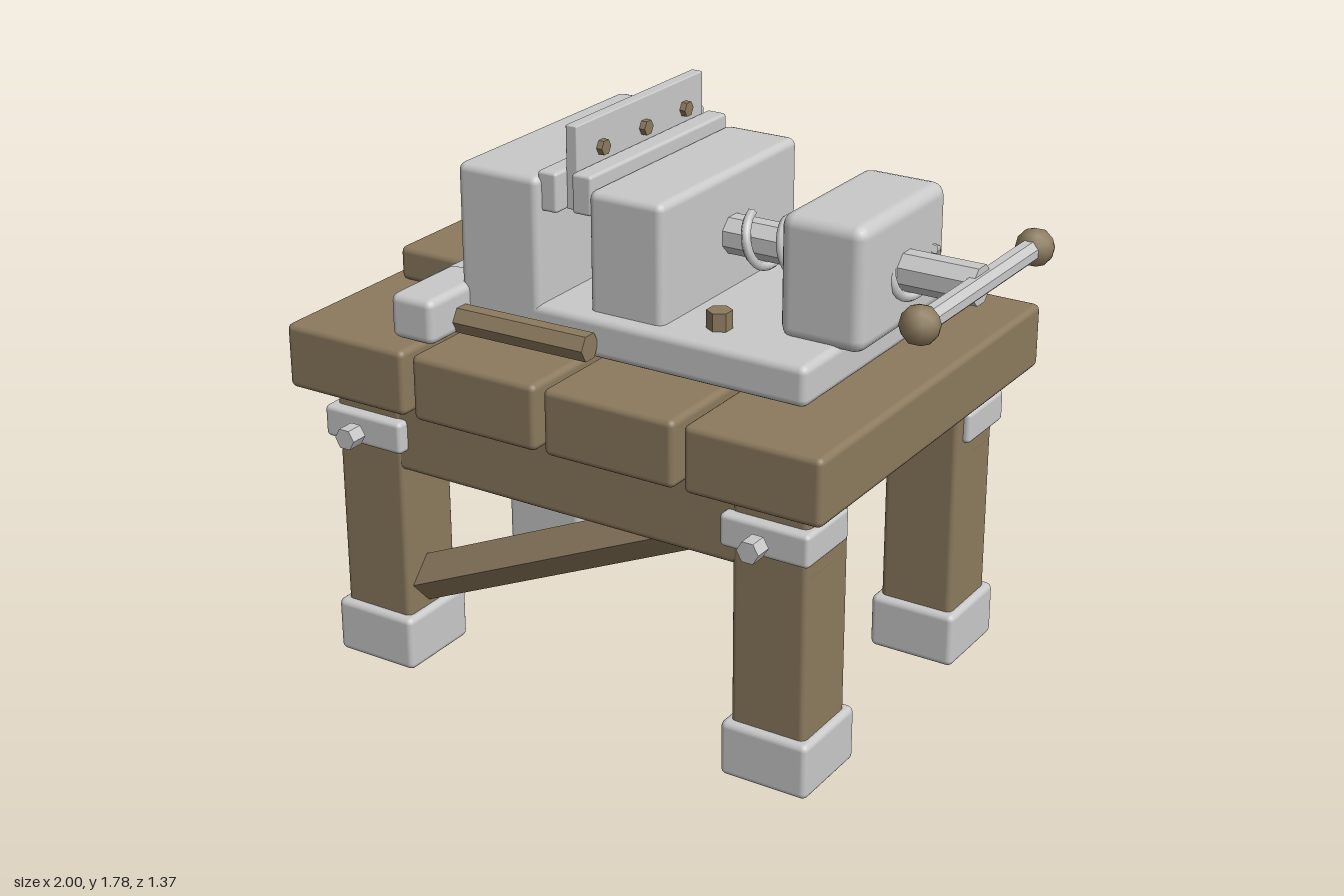
import * as THREE from 'three';
import { RoundedBoxGeometry } from 'three/addons/geometries/RoundedBoxGeometry.js';

export function createModel() {
  const model = new THREE.Group();
  model.name = 'workbenchWithVise';
  const wood = new THREE.MeshStandardMaterial({ color: 0x8c7a5e });
  wood.name = 'wood';
  const metal = new THREE.MeshStandardMaterial({ color: 0xc9c9c9 });
  metal.name = 'metal';

  const add = (name, geometry, material) => {
    const mesh = new THREE.Mesh(geometry, material);
    mesh.name = name;
    model.add(mesh);
    return mesh;
  };

  // Rounded box given by its limits on each axis
  const box = (name, material, [x0, x1], [y0, y1], [z0, z1], r = 0.02) =>
    add(name, new RoundedBoxGeometry(x1 - x0, y1 - y0, z1 - z0, 2, r), material)
      .position.set((x0 + x1) / 2, (y0 + y1) / 2, (z0 + z1) / 2);

  // Faceted rod between two points
  const rod = (name, material, from, to, r, sides = 6, spin = 0) => {
    const a = new THREE.Vector3(...from), b = new THREE.Vector3(...to);
    const flat = new THREE.CylinderGeometry(r, r, a.distanceTo(b), sides).rotateY(spin).toNonIndexed();
    flat.computeVertexNormals();
    const mesh = add(name, flat, material);
    mesh.position.copy(a).add(b).multiplyScalar(0.5);
    mesh.quaternion.setFromUnitVectors(new THREE.Vector3(0, 1, 0), b.sub(a).normalize());
    return mesh;
  };

  // Bench top planks
  for (const x of [-1, -0.533, -0.07, 0.395])
    box('plank', wood, [x, x + 0.435], [0.915, 1.12], [-0.685, 0.665]);

  // Legs with metal feet, brackets and bolts
  for (const x of [-0.783, 0.615]) {
    for (const z of [-0.458, 0.448]) {
      box('leg', wood, [x - 0.122, x + 0.122], [0, 0.93], [z - 0.118, z + 0.118]);
      box('foot', metal, [x - 0.143, x + 0.143], [0.01, 0.187], [z - 0.143, z + 0.143]);
      const zb = z + (z > 0 ? 0.037 : -0.032);
      box('bracket', metal, [x - 0.143, x + 0.143], [0.748, 0.85], [zb - 0.115, zb + 0.115], 0.015);
      rod('bracketBolt', metal, [x, 0.8, z + 0.18], [x, 0.8, z + 0.235], 0.035, 6, Math.PI / 6 * 3);
    }
  }

  // Aprons and diagonal braces
  box('frontApron', wood, [-0.908, 0.738], [0.68, 0.93], [0.405, 0.562]);
  box('backApron', wood, [-0.908, 0.738], [0.68, 0.93], [-0.575, -0.425]);
  for (const z of [-0.48, 0.47])
    rod('brace', wood, [-0.7, 0.266, z], [0.5, 0.806, z], 0.073, 4);

  // Vise base and jaws
  box('viseBase', metal, [-0.685, 0.635], [1.125, 1.25], [-0.435, 0.415], 0.025);
  box('fixedJaw', metal, [-0.533, -0.25], [1.2, 1.635], [-0.435, 0.415], 0.025);
  box('slidingJaw', metal, [-0.11, 0.14], [1.2, 1.61], [-0.388, 0.367], 0.025);
  box('nutBlock', metal, [0.44, 0.71], [1.235, 1.61], [-0.26, 0.24], 0.04);
  box('fixedJawPlate', metal, [-0.265, -0.2], [1.53, 1.65], [-0.405, 0.39], 0.01);
  box('slidingJawPlate', metal, [-0.167, -0.1], [1.53, 1.65], [-0.37, 0.362], 0.01);
  box('clampedSheet', metal, [-0.203, -0.165], [1.53, 1.78], [-0.335, 0.335], 0.004);
  for (const z of [-0.23, -0.01, 0.213])
    rod('sheetBolt', wood, [-0.222, 1.69, z], [-0.146, 1.69, z], 0.024, 6);
  for (const z of [-0.305, 0.285])
    rod('baseBolt', wood, [0.28, 1.24, z], [0.28, 1.305, z], 0.038, 6);

  // Screw with spiral thread
  rod('screw', metal, [0.1, 1.417, -0.012], [0.945, 1.417, -0.012], 0.06, 8, Math.PI / 8);
  const turns = 5, coil = [];
  for (let i = 0; i <= turns * 12; i++) {
    const a = i / 12 * Math.PI * 2;
    coil.push(new THREE.Vector3(0.205 + 0.585 * i / (turns * 12),
      1.417 + Math.cos(a) * 0.075, -0.012 + Math.sin(a) * 0.075));
  }
  add('screwThread', new THREE.TubeGeometry(new THREE.CatmullRomCurve3(coil), 120, 0.015, 6), metal);

  // Turning handle with knobs
  rod('handleBar', metal, [0.94, 1.42, -0.365], [0.94, 1.42, 0.347], 0.034, 8, Math.PI / 8);
  for (const z of [-0.365, 0.347])
    add('handleKnob', new THREE.IcosahedronGeometry(0.058, 1), wood).position.set(0.94, 1.42, z);

  // Side board with upright pegs
  box('sideBoard', wood, [-0.943, -0.62], [1.118, 1.228], [-0.625, 0.185]);
  for (const z of [-0.43, -0.222, -0.014])
    rod('peg', metal, [-0.782, 1.2, z], [-0.782, 1.43, z], 0.03, 6);

  // Mallet lying on the bench
  box('malletHead', metal, [-0.652, -0.5], [1.128, 1.268], [0.3, 0.602], 0.025);
  rod('malletHandle', wood, [-0.58, 1.173, 0.46], [-0.05, 1.176, 0.452], 0.044, 6);

  return model;
}
